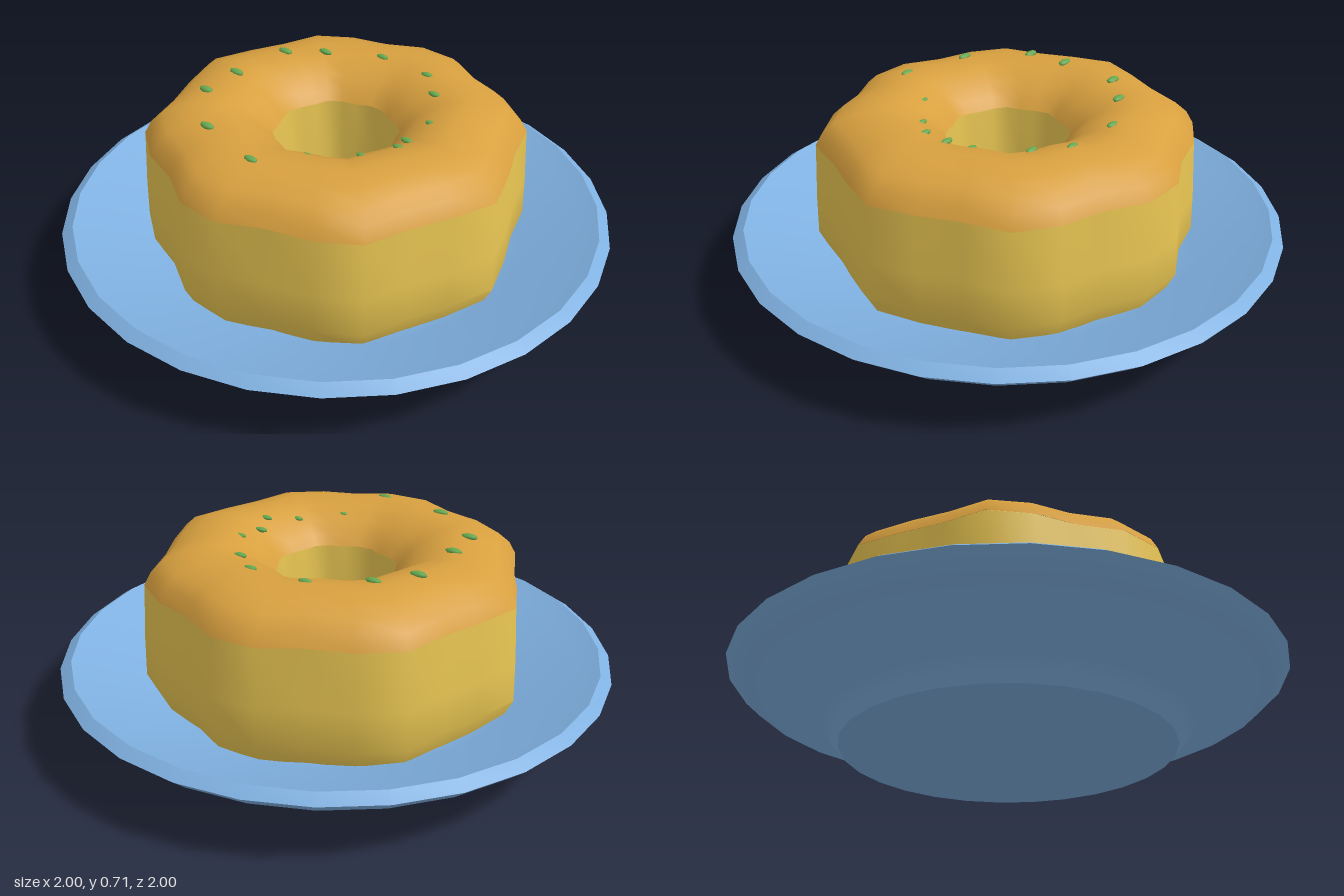
import * as THREE from 'three';
import { mergeVertices, toCreasedNormals } from 'three/addons/utils/BufferGeometryUtils.js';

const mat = (color, side = THREE.FrontSide) => new THREE.MeshStandardMaterial({ color, side });

// Turned shape; flutes > 0 swells the radius in eight lobes around the axis
function turned(profile, sides, flutes, crease) {
  const points = profile.map(([r, y]) => new THREE.Vector2(r, y));
  let geo = new THREE.LatheGeometry(points, sides, Math.PI / 2);
  geo.deleteAttribute('uv');
  geo.deleteAttribute('normal');
  const pos = geo.attributes.position;
  for (let i = 0; i < pos.count; i++) {
    const x = pos.getX(i), z = pos.getZ(i);
    const k = 1 + flutes * Math.cos(8 * Math.atan2(z, x));
    pos.setX(i, x * k);
    pos.setZ(i, z * k);
  }
  geo = mergeVertices(geo, 1e-4);
  geo.computeVertexNormals();
  return crease ? toCreasedNormals(geo, crease) : geo;
}

// Height of a profile at a given radius
function heightAt(profile, r) {
  for (let i = 1; i < profile.length; i++) {
    const [r0, y0] = profile[i - 1], [r1, y1] = profile[i];
    if (r <= r0 && r >= r1) return y0 + (y1 - y0) * (r0 - r) / (r0 - r1);
  }
  return profile[profile.length - 1][1];
}

export function createModel() {
  const model = new THREE.Group();
  const add = (name, geometry, material) => {
    const mesh = new THREE.Mesh(geometry, material);
    mesh.name = name;
    model.add(mesh);
    return mesh;
  };

  // Plate: foot, flared wall, rim and dished top
  const plate = [[0, 0], [0.6, 0], [0.625, 0.03], [0.665, 0.075], [0.94, 0.195], [1, 0.25],
    [0.96, 0.277], [0.9, 0.25], [0.68, 0.165], [0.6, 0.135], [0, 0.13]];
  add('plate', turned(plate, 28, 0, 0.7), mat(0x7fb0e0));

  // Ring cake: outer wall, covered top, hole wall
  const cake = [[0.63, 0.13], [0.672, 0.22], [0.668, 0.36], [0.655, 0.57], [0.58, 0.62],
    [0.44, 0.66], [0.3, 0.62], [0.22, 0.57], [0.208, 0.4], [0.205, 0.13]];
  add('cake', turned(cake, 26, 0.042, 0.8), mat(0xe8c552, THREE.DoubleSide));

  // Glaze over the rounded top
  const glaze = [[0.656, 0.57], [0.63, 0.617], [0.588, 0.655], [0.52, 0.68], [0.44, 0.695],
    [0.36, 0.682], [0.29, 0.645], [0.245, 0.605], [0.219, 0.57]];
  add('glaze', turned(glaze, 26, 0.042), mat(0xd8a03f, THREE.DoubleSide));

  // Chopped nuts scattered in a spiral: x, z, half length
  const nuts = [[0.13, 0.29, 0.02], [0.26, 0.17, 0.023], [0.34, 0.075, 0.025], [0.315, 0, 0.026],
    [0.325, -0.12, 0.024], [0.215, -0.285, 0.026], [0.115, -0.375, 0.026], [-0.1, -0.38, 0.027],
    [-0.29, -0.27, 0.03], [-0.4, -0.165, 0.032], [-0.42, 0.075, 0.032], [-0.41, 0.235, 0.032],
    [-0.22, 0.41, 0.031], [0.04, 0.463, 0.028]];
  const nutGeo = new THREE.SphereGeometry(1, 8, 6);
  const nutMat = mat(0x66a850);
  for (const [x, z, s] of nuts) {
    const nut = add('nut', nutGeo, nutMat);
    nut.position.set(x, heightAt(glaze, Math.hypot(x, z)) + 0.001, z);
    nut.scale.set(s, s * 0.35, s * 0.5);
  }
  return model;
}
